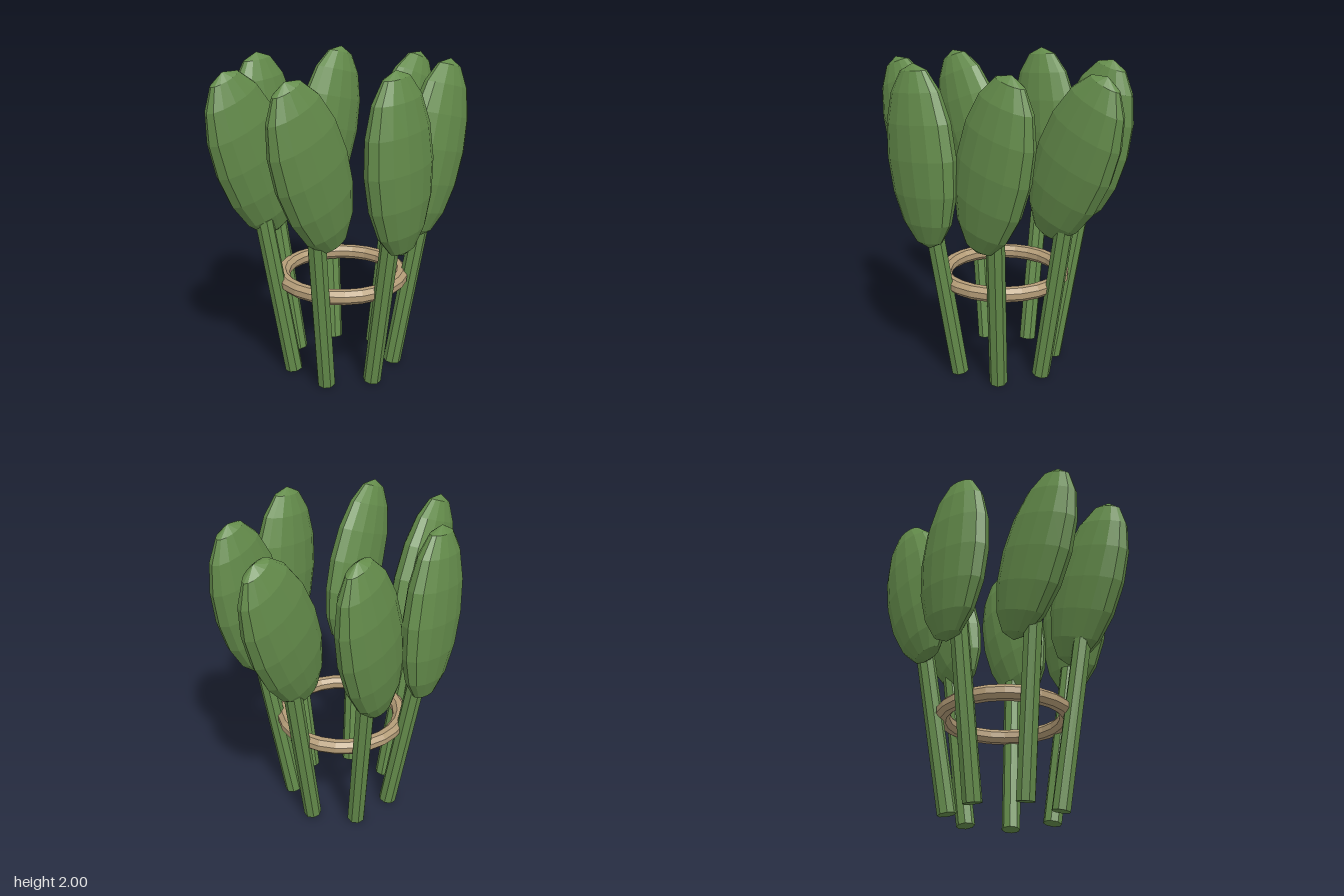
import * as THREE from 'three';

const COUNT = 7, CENTRE_X = -0.04;

export function createModel() {
  const model = new THREE.Group();
  model.name = 'paddleCluster';
  const green = new THREE.MeshStandardMaterial({ color: 0x648c4b, flatShading: true });
  green.name = 'leaf green';
  const tan = new THREE.MeshStandardMaterial({ color: 0xb59d78, flatShading: true });
  tan.name = 'ring tan';

  // Flattened oval leaf and round stem, shared by every stalk
  const leafGeometry = new THREE.SphereGeometry(1, 14, 8).scale(0.27, 0.545, 0.125);
  const stemGeometry = new THREE.CylinderGeometry(0.057, 0.057, 1.06, 8);
  const lean = 0.16;

  for (let i = 0; i < COUNT; i++) {
    const angle = (i / COUNT) * Math.PI * 2;

    // Stem leans outwards along its radius
    const stemPivot = new THREE.Group();
    stemPivot.name = `stem${i + 1}`;
    stemPivot.position.x = CENTRE_X;
    stemPivot.rotation.y = -angle;
    const stem = new THREE.Mesh(stemGeometry, green);
    stem.name = 'stemRod';
    stem.position.set(0.42, 0.532, 0);
    stem.rotation.z = -lean;
    stemPivot.add(stem);
    model.add(stemPivot);

    // All leaves face the front and tilt only sideways
    const leaf = new THREE.Mesh(leafGeometry, green);
    leaf.name = `leaf${i + 1}`;
    leaf.position.set(CENTRE_X + 0.565 * Math.cos(angle), 1.455, 0.565 * Math.sin(angle));
    leaf.rotation.z = -0.4 * Math.cos(angle);
    model.add(leaf);
  }

  // Binding ring with an octagonal section
  const section = [];
  for (let i = 0; i <= 8; i++) {
    const a = (i + 0.5) * Math.PI / 4;
    section.push(new THREE.Vector2(0.378 + 0.048 * Math.cos(a), 0.048 * Math.sin(a)));
  }
  const ring = new THREE.Mesh(new THREE.LatheGeometry(section, 24), tan);
  ring.name = 'bindingRing';
  ring.position.set(CENTRE_X, 0.624, 0);
  model.add(ring);

  return model;
}
